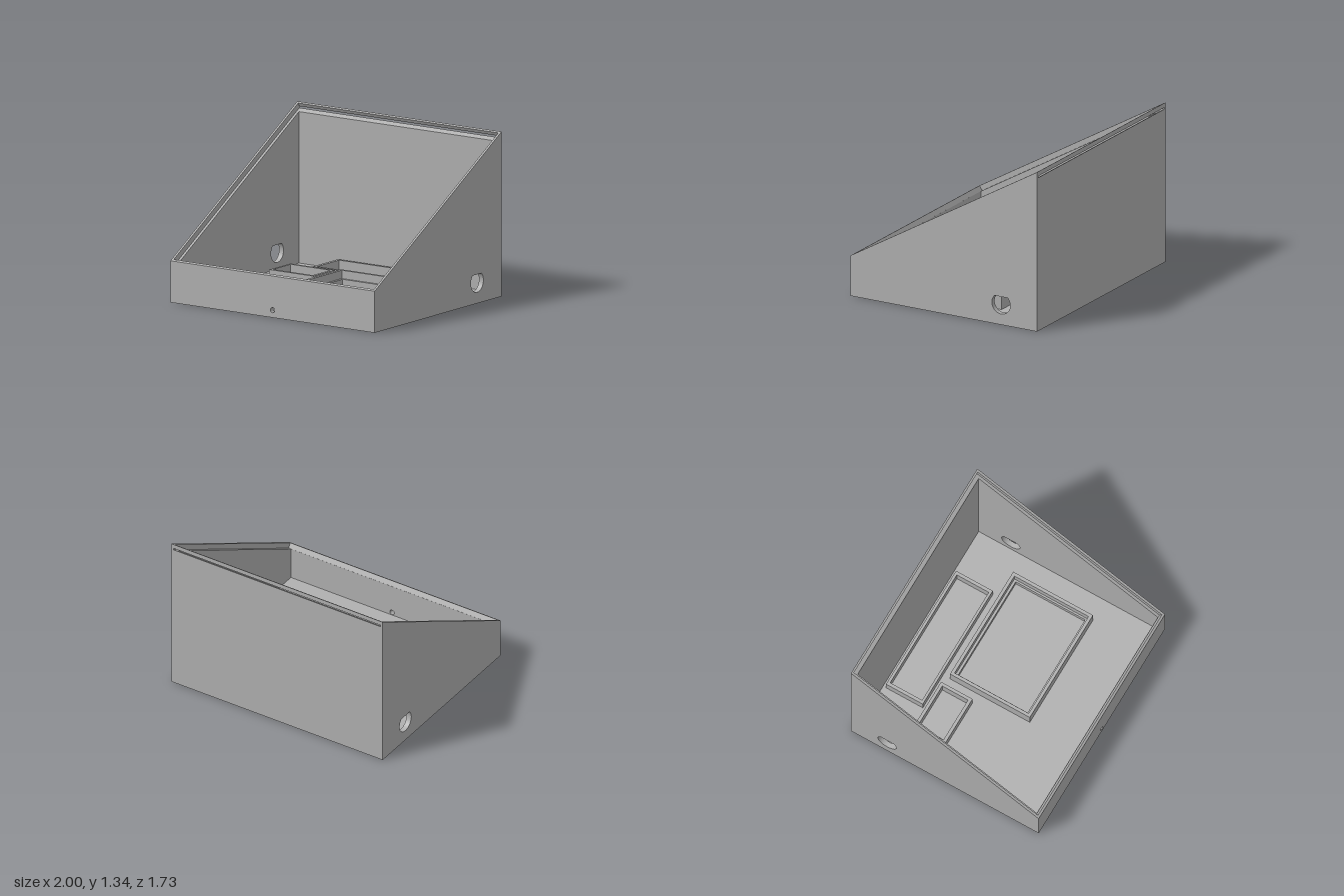
import * as THREE from 'three';

const X = 1, Z = 0.8625, FRONT_H = 0.3375, BACK_H = 1.3375;
const SLOPE = (BACK_H - FRONT_H) / (2 * Z);
const RIM_X = 0.98, INNER_X = 0.957, INNER_Z = 0.825, FLOOR = 0.035, RECESS = 0.051;

// height of the sloping opening, and of the ledge sunk below it
const topAt = z => FRONT_H + (Z - z) * SLOPE;
const ledgeAt = z => topAt(z) - RECESS;

export function createModel() {
  const model = new THREE.Group();
  model.name = 'slopedEnclosure';
  const grey = new THREE.MeshStandardMaterial({ color: 0xb0b0b0 });
  grey.name = 'plain grey';

  const add = (name, geometry) => {
    const mesh = new THREE.Mesh(geometry, grey);
    mesh.name = name;
    model.add(mesh);
    return mesh;
  };
  const polygon = points => new THREE.Shape(points.map(p => new THREE.Vector2(...p)));
  const extrude = (shape, depth) =>
    new THREE.ExtrudeGeometry(shape, { depth, bevelEnabled: false, curveSegments: 32 });
  // profile drawn in (z, y), swept from x0 to x1
  const sweepX = (shape, x0, x1) =>
    extrude(shape, x1 - x0).rotateY(-Math.PI / 2).translate(x1, 0, 0);
  // outline drawn in (x, -z), raised from y0 to y1
  const raise = (shape, y0, y1) =>
    extrude(shape, y1 - y0).rotateX(-Math.PI / 2).translate(0, y0, 0);

  // teardrop cable hole, pointed at the top
  const teardrop = () => {
    const cz = -0.53, cy = 0.175, r = 0.085;
    const hole = new THREE.Path();
    hole.moveTo(cz, cy + r * Math.SQRT2);
    hole.absarc(cz, cy, r, Math.PI * 0.75, Math.PI * 2.25, false);
    hole.closePath();
    return hole;
  };

  // side walls: full-height outer skin and lower inner skin forming the ledge
  const outer = polygon([[-Z, 0], [Z, 0], [Z, FRONT_H], [-Z, BACK_H]]);
  const inner = polygon([[-Z, 0], [0.823, 0], [0.823, ledgeAt(0.823)], [-Z, ledgeAt(-Z)]]);
  outer.holes.push(teardrop());
  inner.holes.push(teardrop());
  for (const [side, s] of [['left', 1], ['right', -1]]) {
    const span = (a, b) => (s > 0 ? [a, b] : [-b, -a]);
    add(side + 'WallOuter', sweepX(outer, ...span(RIM_X, X)));
    add(side + 'WallInner', sweepX(inner, ...span(INNER_X, RIM_X)));
  }

  // back wall, with a narrow slit between it and the rim bar
  add('backWall', sweepX(polygon([
    [-Z, 0], [-INNER_Z, 0], [-INNER_Z, ledgeAt(-INNER_Z)], [-Z, ledgeAt(-Z)],
  ]), -RIM_X, RIM_X));
  add('backRimBar', sweepX(polygon([
    [-Z, 1.3], [-0.846, topAt(-0.846)], [-Z, BACK_H],
  ]), -RIM_X, RIM_X));

  // front wall with a small round hole, topped by a stepped rim
  const frontPlate = polygon([[-RIM_X, 0], [RIM_X, 0], [RIM_X, 0.28], [-RIM_X, 0.28]]);
  frontPlate.holes.push(new THREE.Path().absarc(0, 0.06, 0.021, 0, Math.PI * 2, true));
  add('frontWall', extrude(frontPlate, Z - 0.82).translate(0, 0, 0.82));
  add('frontRim', sweepX(polygon([
    [0.82, 0.28], [Z, 0.28], [Z, FRONT_H], [0.845, topAt(0.845)],
    [0.823, ledgeAt(0.823)], [0.82, ledgeAt(0.82)],
  ]), -RIM_X, RIM_X));

  // floor
  add('floor', new THREE.BoxGeometry(2 * INNER_X, FLOOR, INNER_Z + 0.82)
    .translate(0, FLOOR / 2, (0.82 - INNER_Z) / 2));

  // open rectangular frames on the floor: [x0, x1, z0, z1]
  const rect = ([x0, x1, z0, z1]) => [[x0, -z1], [x1, -z1], [x1, -z0], [x0, -z0]];
  const frame = (name, out, hole, y0, y1) => {
    const shape = polygon(rect(out));
    shape.holes.push(polygon(rect(hole)));
    add(name, raise(shape, y0, y1));
  };
  frame('backTray', [-0.556, 0.552, -0.798, -0.46], [-0.529, 0.525, -0.775, -0.482], FLOOR, 0.12);
  frame('smallTray', [-0.754, -0.321, -0.428, -0.139], [-0.733, -0.347, -0.402, -0.166], FLOOR, 0.125);
  const step = [-0.209, 0.738, -0.369, 0.311];
  frame('largeTray', [-0.235, 0.765, -0.396, 0.337], step, FLOOR, 0.147);
  frame('largeTrayLedge', step, [-0.187, 0.722, -0.348, 0.289], FLOOR, 0.08);

  return model;
}
